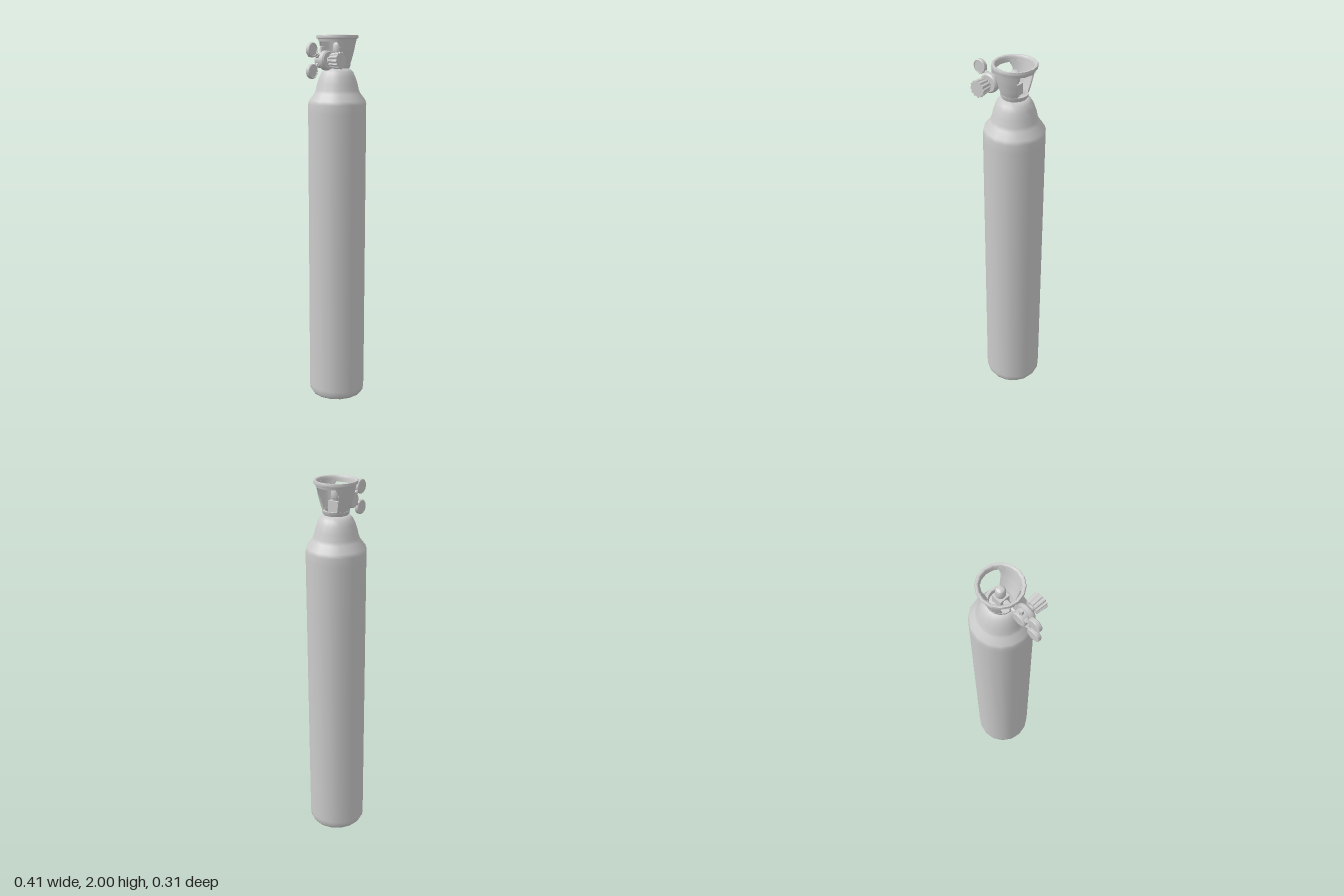
import * as THREE from 'three';
import { mergeGeometries, toCreasedNormals } from 'three/addons/utils/BufferGeometryUtils.js';

const material = new THREE.MeshStandardMaterial({ color: 0xcccccc, side: THREE.DoubleSide });
const AXIS = 0.045; // x of the bottle axis
const REG = new THREE.Vector3(-0.085, 1.873, 0); // regulator centre

const vectors = (pts) => pts.map(([x, y]) => new THREE.Vector2(x, y));
const crease = (geo, angle = 0.7) => toCreasedNormals(geo, angle);

function add(parent, name, geo, x = 0, y = 0, z = 0) {
  const mesh = new THREE.Mesh(geo, material);
  mesh.name = name;
  mesh.position.set(x, y, z);
  parent.add(mesh);
  return mesh;
}

// Cylinder running from point a to point b
function rod(parent, name, a, b, r0, r1 = r0, sides = 12) {
  const dir = new THREE.Vector3().subVectors(b, a);
  const mesh = add(parent, name, crease(new THREE.CylinderGeometry(r1, r0, dir.length(), sides)));
  mesh.position.copy(a).add(b).multiplyScalar(0.5);
  mesh.quaternion.setFromUnitVectors(new THREE.Vector3(0, 1, 0), dir.normalize());
  return mesh;
}

// Lathe along z, profile given as [radius, z]
function turnedZ(parent, name, profile, centre, sides = 16) {
  const geo = crease(new THREE.LatheGeometry(vectors(profile), sides));
  geo.rotateX(Math.PI / 2);
  return add(parent, name, geo, centre.x, centre.y, centre.z);
}

// Curved collar wall: a quarter turn that flares into the top band
function collarPanel(facing) {
  const profile = vectors([[0.066, 1.845], [0.076, 1.875], [0.089, 1.925], [0.1, 1.98],
    [0.092, 1.98], [0.081, 1.925], [0.067, 1.875], [0.057, 1.845], [0.066, 1.845]]);
  const half = Math.PI / 4;
  // subdivide so that the flare is smooth
  const fine = profile.flatMap((p, i) => i === profile.length - 1 ? [p]
    : [0, 0.25, 0.5, 0.75].map((t) => p.clone().lerp(profile[i + 1], t)));
  const wall = new THREE.LatheGeometry(fine, 6, -half, half * 2);
  const ends = [-half, half].map((phi) => {
    const end = new THREE.ShapeGeometry(new THREE.Shape(fine.slice(0, -1)));
    return end.rotateY(phi - Math.PI / 2);
  });
  const geo = mergeGeometries([wall, ...ends]);
  const pos = geo.attributes.position;
  for (let i = 0; i < pos.count; i++) {
    const x = pos.getX(i), y = pos.getY(i), z = pos.getZ(i);
    const up = Math.max(0, (y - 1.935) / 0.045), down = Math.max(0, (1.87 - y) / 0.025);
    const angle = Math.atan2(x, z) * (1 + 0.3 * up * up + 0.2 * down * down);
    const r = Math.hypot(x, z);
    pos.setXYZ(i, r * Math.sin(angle), y, r * Math.cos(angle));
  }
  return crease(geo.rotateY(facing));
}

export function createModel() {
  const model = new THREE.Group();
  model.name = 'gasBottle';

  // Bottle
  const body = vectors([[0, 0.012], [0.09, 0.009], [0.125, 0], [0.142, 0.004], [0.153, 0.022],
    [0.156, 0.05], [0.156, 1.6], [0.156, 1.645], [0.15, 1.665], [0.123, 1.7], [0.115, 1.718],
    [0.108, 1.75], [0.096, 1.785], [0.084, 1.81], [0.065, 1.829], [0, 1.832]]);
  add(model, 'bottle', new THREE.LatheGeometry(body, 16), AXIS);

  // Protective collar
  const collar = new THREE.Group();
  collar.name = 'collar';
  collar.position.x = AXIS;
  model.add(collar);
  const foot = vectors([[0.054, 1.825], [0.06, 1.825], [0.068, 1.838], [0.07, 1.852],
    [0.058, 1.852], [0.054, 1.838], [0.054, 1.825]]);
  add(collar, 'collarFoot', crease(new THREE.LatheGeometry(foot, 16)));
  add(collar, 'frontPanel', collarPanel(0));
  add(collar, 'backPanel', collarPanel(Math.PI));
  const band = vectors([[0.091, 1.967], [0.099, 1.967], [0.102, 1.98], [0.109, 1.982], [0.112, 1.991],
    [0.109, 1.999], [0.102, 2], [0.096, 1.997], [0.093, 1.985], [0.091, 1.967]]);
  add(collar, 'topRing', crease(new THREE.LatheGeometry(band, 16), 0.9));

  // Valve
  const valve = new THREE.Group();
  valve.name = 'valve';
  model.add(valve);
  add(valve, 'valveBlock', new THREE.BoxGeometry(0.055, 0.056, 0.055), AXIS, 1.87);
  add(valve, 'valveNeck', crease(new THREE.CylinderGeometry(0.02, 0.026, 0.03, 12)), AXIS, 1.838);
  const stem = vectors([[0.02, 1.89], [0.02, 1.905], [0.024, 1.91], [0.024, 1.945],
    [0.019, 1.958], [0.013, 1.962], [0, 1.962]]);
  add(valve, 'valveStem', crease(new THREE.LatheGeometry(stem, 12)), AXIS);
  const at = (x) => new THREE.Vector3(x, REG.y, 0);
  rod(valve, 'outlet', at(0.03), at(-0.008), 0.013);
  rod(valve, 'outletNut', at(0.012), at(-0.025), 0.017, 0.017, 6);
  rod(valve, 'outletPipe', at(-0.02), at(-0.06), 0.008);

  // Regulator
  const regulator = new THREE.Group();
  regulator.name = 'regulator';
  model.add(regulator);
  turnedZ(regulator, 'regulatorBody', [[0, -0.02], [0.036, -0.02], [0.04, -0.016], [0.04, 0.02], [0, 0.02]], REG);
  turnedZ(regulator, 'regulatorFlange', [[0, 0.018], [0.05, 0.018], [0.05, 0.038], [0.043, 0.046], [0, 0.046]], REG);
  turnedZ(regulator, 'knobShaft', [[0.018, 0.044], [0.018, 0.068]], REG);
  rod(regulator, 'topBolt', REG, REG.clone().setY(1.93), 0.008);
  rod(regulator, 'topBoltNut', REG.clone().setY(1.918), REG.clone().setY(1.943), 0.013, 0.011, 6);

  // Ribbed, tapered adjusting knob
  const knob = new THREE.CylinderGeometry(0.043, 0.036, 0.058, 48);
  const pos = knob.attributes.position;
  for (let i = 0; i < pos.count; i++) {
    const x = pos.getX(i), z = pos.getZ(i);
    const step = Math.round((Math.atan2(x, z) / (Math.PI * 2)) * 48 + 48) % 4;
    const scale = step < 2 ? 1 : 0.87;
    pos.setXYZ(i, x * scale, pos.getY(i), z * scale);
  }
  add(regulator, 'knob', crease(knob, 0.3).rotateX(Math.PI / 2), REG.x, REG.y, 0.094);

  // Two pressure gauges
  for (const side of [1, -1]) {
    const centre = new THREE.Vector3(-0.168, REG.y + side * 0.053, 0);
    const label = side > 0 ? 'upper' : 'lower';
    turnedZ(regulator, label + 'Gauge', [[0, -0.01], [0.034, -0.01], [0.037, -0.007],
      [0.037, 0.009], [0.034, 0.012], [0.031, 0.012], [0.03, 0.009], [0, 0.009]], centre);
    rod(regulator, label + 'GaugeStem', REG, centre, 0.008);
    rod(regulator, label + 'GaugeNut', REG.clone().lerp(centre, 0.38), REG.clone().lerp(centre, 0.52), 0.012, 0.012, 6);
  }
  return model;
}
